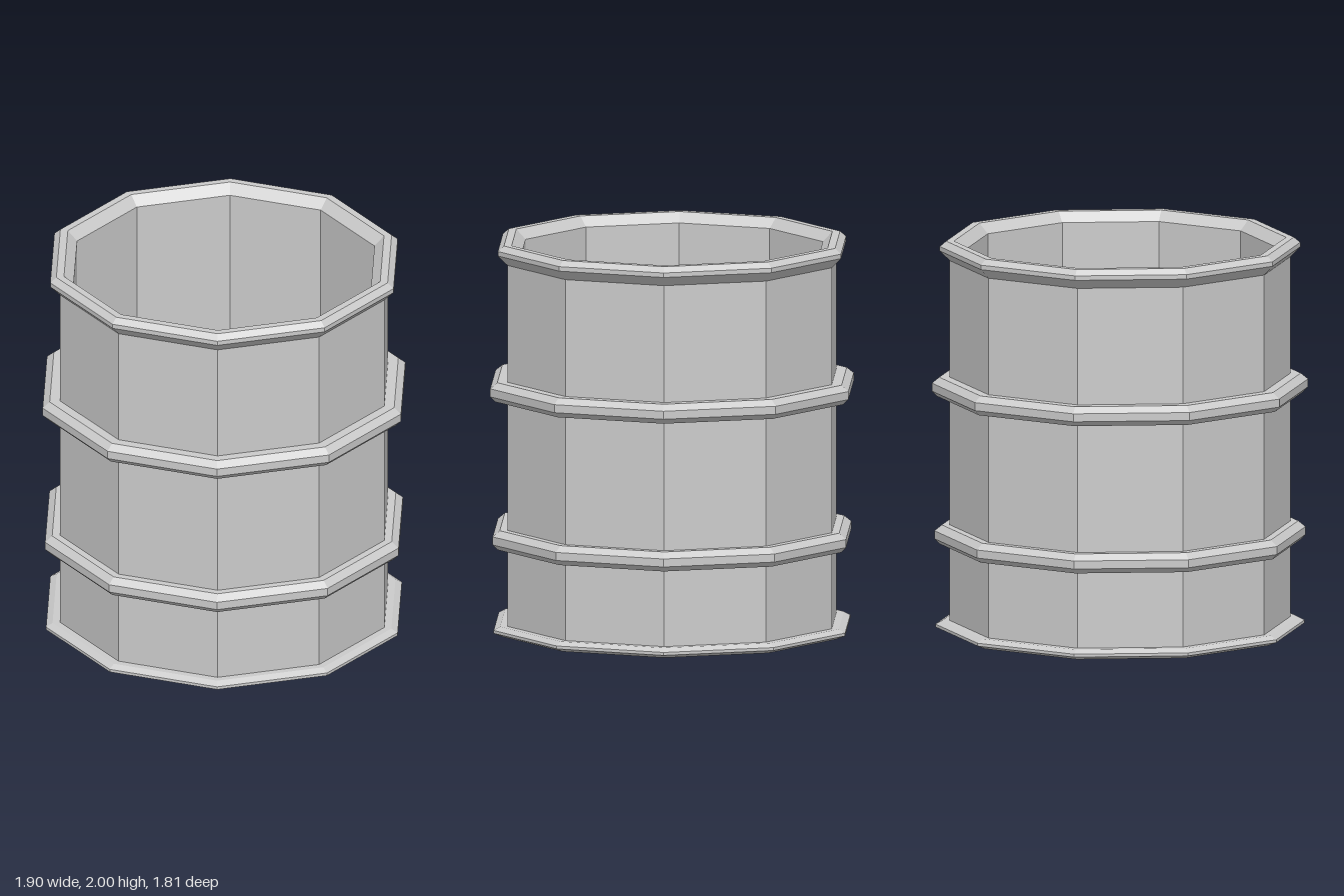
import * as THREE from 'three';

const SIDES = 10;
const WALL = 0.862;   // outer corner radius
const INNER = 0.79;   // inner corner radius

const material = new THREE.MeshStandardMaterial({ color: 0xcccccc, flatShading: true });

// Ten-sided ring or shell turned from [radius, y] pairs, with corners on the x axis
function turned(name, profile) {
  const points = profile.map(([r, y]) => new THREE.Vector2(r, y));
  const mesh = new THREE.Mesh(new THREE.LatheGeometry(points, SIDES, Math.PI / 2), material);
  mesh.name = name;
  return mesh;
}

// Raised band around the wall with bevelled edges
function hoop(name, bottom, top, radius) {
  return turned(name, [
    [WALL, bottom], [radius - 0.027, bottom], [radius, bottom + 0.027],
    [radius, top - 0.03], [radius - 0.037, top], [WALL, top],
  ]);
}

export function createModel() {
  const barrel = new THREE.Group();
  barrel.name = 'barrel';

  // Outer wall
  barrel.add(turned('outerWall', [[WALL, 0.053], [WALL, 1.9]]));

  // Base plate with its flared edge
  barrel.add(turned('base', [
    [0, 0], [0.885, 0], [0.934, 0.02], [0.934, 0.035], [0.9, 0.053], [WALL, 0.053],
  ]));

  // Two hoops
  barrel.add(hoop('lowerHoop', 0.446, 0.544, 0.939));
  barrel.add(hoop('upperHoop', 1.204, 1.302, 0.952));

  // Flared top rim, bevelled towards the inside
  barrel.add(turned('rim', [
    [WALL, 1.9], [0.912, 1.95], [0.912, 1.973], [0.88, 2], [0.84, 2], [INNER, 1.95],
  ]));

  // Open inside: wall and floor
  barrel.add(turned('innerWall', [[INNER, 1.95], [INNER, 0.05], [0, 0.05]]));

  return barrel;
}
